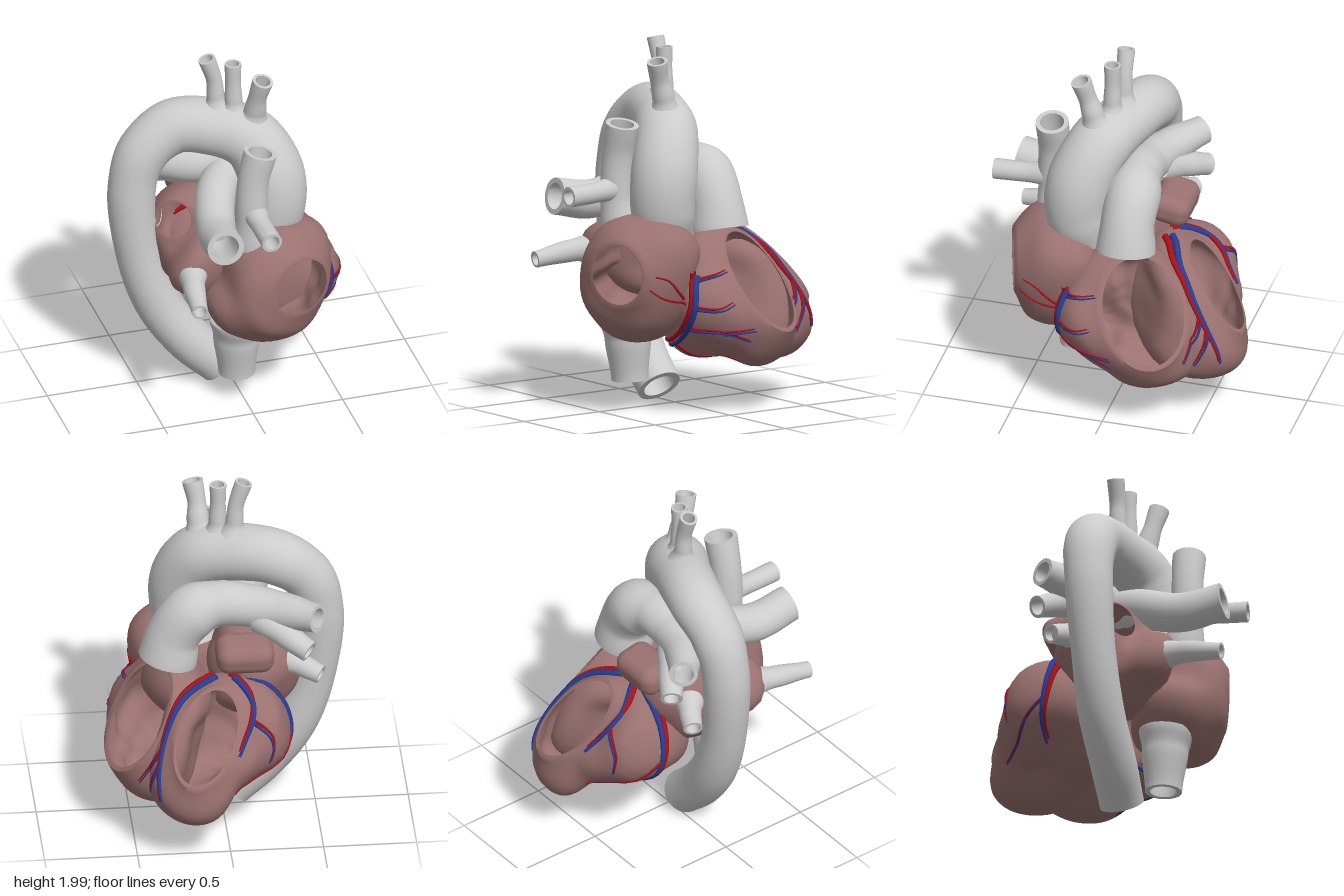
import * as THREE from 'three';
import { toCreasedNormals } from 'three/addons/utils/BufferGeometryUtils.js';
import { RoundedBoxGeometry } from 'three/addons/geometries/RoundedBoxGeometry.js';

const V = (p) => new THREE.Vector3(p[0], p[1], p[2]);
const material = (color) => new THREE.MeshStandardMaterial({ color, side: THREE.DoubleSide });
const GREY = material(0xcccccc);
const MUSCLE = material(0x9a7270);
const RED = material(0xa81216);
const BLUE = material(0x2a3c94);

// Skin a list of closed rings
function loft(rings, mat, name) {
  const n = rings[0].length, pos = [], idx = [];
  rings.forEach((ring) => ring.forEach((p) => pos.push(p.x, p.y, p.z)));
  for (let i = 0; i < rings.length - 1; i++) {
    for (let j = 0; j < n; j++) {
      const a = i * n + j, b = i * n + (j + 1) % n;
      idx.push(a, b, a + n, b, b + n, a + n);
    }
  }
  const geo = new THREE.BufferGeometry();
  geo.setAttribute('position', new THREE.Float32BufferAttribute(pos, 3));
  geo.setIndex(idx);
  const mesh = new THREE.Mesh(toCreasedNormals(geo, 0.9), mat);
  mesh.name = name;
  return mesh;
}

// Tube with varying radius through [x, y, z, radius] points; hollow tubes get a thick open end
function vessel(name, pts, { mat = GREY, sides = 24, steps = 40, hollow = true } = {}) {
  const curve = new THREE.CatmullRomCurve3(pts.map(V));
  const frames = curve.computeFrenetFrames(steps, false);
  const radiusAt = (u) => {
    const t = curve.getUtoTmapping(u) * (pts.length - 1);
    const i = Math.min(Math.floor(t), pts.length - 2);
    return THREE.MathUtils.lerp(pts[i][3], pts[i + 1][3], THREE.MathUtils.smoothstep(t - i, 0, 1));
  };
  const ring = (i, k) => {
    const c = curve.getPointAt(i / steps), r = radiusAt(i / steps) * k;
    return Array.from({ length: sides }, (_, j) => {
      const a = (j / sides) * Math.PI * 2;
      return c.clone().addScaledVector(frames.normals[i], r * Math.cos(a))
        .addScaledVector(frames.binormals[i], r * Math.sin(a));
    });
  };
  const rings = [];
  for (let i = 0; i <= steps; i++) rings.push(ring(i, 1));
  if (hollow) {
    const back = Math.max(steps - 12, 1);
    for (let i = steps; i >= back; i--) rings.push(ring(i, 0.72));
    rings.push(ring(back, 0));
  } else rings.push(ring(steps, 0));
  return loft(rings, mat, name);
}

// Hollow chamber: a smooth skin through control points around a centre,
// cut by an elliptical window (centre w, half axes a and b)
function chamber(name, centre, points, { w, a, b }, wall = 0.84) {
  const c = V(centre), W = V(w), A = V(a), B = V(b);
  const ctrl = points.map((p) => {
    const d = V(p).sub(c), r = d.length();
    return { d: d.divideScalar(r), r, v: r };
  });
  const radius = (d) => {
    let sum = 0, total = 0;
    for (const p of ctrl) {
      const k = Math.exp(11 * (p.d.dot(d) - 1));
      sum += k * p.v;
      total += k;
    }
    return sum / total;
  };
  for (let pass = 0; pass < 2; pass++) {
    const err = ctrl.map((p) => p.r - radius(p.d));
    ctrl.forEach((p, i) => { p.v += err[i] * 0.8; });
  }
  const n = W.clone().sub(c).normalize();
  const sides = 56, rows = 28;
  const ring = (s, inner) => Array.from({ length: sides }, (_, j) => {
    const phi = (j / sides) * Math.PI * 2, k = inner ? 0.92 : 1;
    const rim = W.clone().addScaledVector(A, k * Math.cos(phi)).addScaledVector(B, k * Math.sin(phi)).sub(c);
    const rimR = rim.length(), th0 = rim.angleTo(n);
    const side = rim.clone().addScaledVector(n, -rim.dot(n)).normalize();
    const th = th0 + (Math.PI - th0) * s;
    const d = n.clone().multiplyScalar(Math.cos(th)).addScaledVector(side, Math.sin(th));
    let r = radius(d);
    if (inner) r *= wall * (1 + 0.05 * Math.sin(9 * th) * Math.sin(7 * phi) * Math.sin(th));
    r = THREE.MathUtils.lerp(rimR, r, THREE.MathUtils.smoothstep(s, 0, 0.22));
    return d.multiplyScalar(r).add(c);
  });
  const rings = [];
  for (let i = 0; i <= rows; i++) rings.push(ring(i / rows, false));
  rings.reverse();
  for (let i = 0; i <= rows; i++) rings.push(ring(i / rows, true));
  return loft(rings, MUSCLE, name);
}

export function createModel() {
  const model = new THREE.Group();
  model.name = 'heart';

  // Ventricles
  const rightVentricle = chamber('rightVentricle', [0.33, 0.6, -0.08], [
    [0.64, 0.57, -0.1], [0.62, 0.66, 0.05], [0.55, 0.43, 0.08], [0.5, 0.62, 0.25], [0.36, 0.26, -0.4],
    [0.3, 0.31, -0.1], [0.25, 0.38, 0.2], [0.61, 0.43, -0.24], [0.53, 0.33, -0.4], [0.42, 0.46, -0.58],
    [0.47, 0.56, -0.48], [0.45, 0.27, -0.3], [0.29, 1.04, -0.08], [0.4, 0.99, -0.08], [0.3, 0.98, -0.26],
    [0.25, 0.95, 0.08], [0.5, 0.85, 0.08], [0.1, 0.6, -0.05], [0.2, 0.5, -0.3], [0.12, 0.88, -0.1], [0.3, 0.6, 0.25],
  ], { w: [0.47, 0.715, -0.22], a: [-0.15, 0.27, 0.09], b: [0.1, 0, 0.215] });
  const leftVentricle = chamber('leftVentricle', [0.06, 0.6, -0.4], [
    [0.21, 0.41, -0.74], [0.3, 0.36, -0.7], [0.1, 0.52, -0.67], [-0.35, 0.65, -0.27], [-0.31, 0.65, -0.42],
    [-0.1, 0.6, -0.61], [0, 0.98, -0.3], [-0.2, 0.9, -0.26], [0.2, 0.95, -0.37], [0.08, 0.35, -0.4],
    [-0.2, 0.44, -0.33], [-0.1, 0.43, -0.5], [0.3, 0.24, -0.52], [0.32, 0.24, -0.43], [0.25, 0.27, -0.28],
    [0.39, 0.65, -0.49], [0.41, 0.52, -0.57], [0.37, 0.45, -0.65], [0, 0.6, 0], [-0.2, 0.62, -0.02],
    [0.22, 0.6, -0.15], [0.05, 0.4, -0.05],
  ], { w: [0.13, 0.74, -0.535], a: [0.11, -0.21, -0.17], b: [0.15, 0.05, 0.04] });

  // Atria
  const rightAtrium = chamber('rightAtrium', [0.12, 0.72, 0.36], [
    [-0.2, 0.58, 0.35], [-0.11, 0.85, 0.4], [0, 0.6, 0.6], [0.05, 0.4, 0.35], [0.3, 0.44, 0.4],
    [0.42, 0.6, 0.4], [0.47, 0.8, 0.35], [0.46, 0.98, 0.3], [0.25, 1.08, 0.36], [0.05, 1.07, 0.42],
    [-0.06, 1.01, 0.38], [-0.02, 0.92, 0.56], [0.03, 0.75, 0.63], [0.2, 0.55, 0.58], [0.25, 1.03, 0.5],
    [0.35, 0.65, 0.12], [0.1, 0.7, 0.08], [0.1, 1, 0.2], [0.05, 0.45, 0.15],
  ], { w: [0.25, 0.79, 0.565], a: [0.17, 0, -0.055], b: [0, 0.175, 0] }, 0.88);
  const leftAtrium = chamber('leftAtrium', [-0.16, 0.88, 0.05], [
    [-0.4, 1.05, -0.05], [-0.38, 0.9, 0.14], [-0.31, 0.83, 0.4], [-0.15, 1.1, 0.2], [-0.1, 1.15, -0.1],
    [-0.3, 0.65, 0.1], [-0.15, 0.6, 0.2], [0, 0.85, 0.2], [-0.36, 0.8, -0.14], [-0.25, 1.02, -0.24],
    [-0.15, 0.85, 0.34], [0.05, 0.95, -0.05], [-0.15, 0.65, -0.15], [-0.3, 1.16, 0],
  ], { w: [-0.33, 1.05, 0.11], a: [0.04, 0.11, 0], b: [0.08, -0.02, 0.07] }, 0.88);
  const appendage = new THREE.Mesh(new RoundedBoxGeometry(0.31, 0.17, 0.22, 6, 0.07), MUSCLE);
  appendage.name = 'leftAtrialAppendage';
  appendage.position.set(-0.1, 1.08, -0.235);
  appendage.rotation.x = -0.2;
  model.add(rightVentricle, leftVentricle, rightAtrium, leftAtrium, appendage);

  // Aorta and the three arch branches
  model.add(vessel('aorta', [
    [0.14, 0.93, 0.14, 0.14], [0.19, 1.1, 0.22, 0.175], [0.19, 1.3, 0.21, 0.18], [0.1, 1.49, 0.13, 0.17],
    [-0.08, 1.55, 0.04, 0.155], [-0.28, 1.55, -0.03, 0.15], [-0.45, 1.43, -0.03, 0.14],
    [-0.52, 1.22, -0.02, 0.13], [-0.49, 0.8, 0, 0.12], [-0.38, 0.48, 0.02, 0.125],
    [-0.22, 0.25, 0.05, 0.125], [-0.06, 0.09, 0.06, 0.12],
  ], { steps: 110, sides: 32 }));
  [
    [[-0.06, 1.62, 0.04, 0.1], [-0.07, 1.74, 0.04, 0.048], [-0.08, 1.85, 0.04, 0.043], [-0.12, 1.98, 0.04, 0.047]],
    [[0.02, 1.6, 0.08, 0.1], [0.018, 1.72, 0.08, 0.048], [0.015, 1.84, 0.08, 0.042], [0.015, 1.95, 0.08, 0.045]],
    [[0.1, 1.55, 0.13, 0.11], [0.115, 1.69, 0.16, 0.06], [0.12, 1.79, 0.19, 0.05], [0.14, 1.9, 0.22, 0.056]],
  ].forEach((p, i) => model.add(vessel('archBranch' + (i + 1), p)));

  // Pulmonary arteries
  model.add(vessel('pulmonaryTrunk', [
    [0.3, 0.98, -0.075, 0.16], [0.265, 1.13, -0.075, 0.145], [0.17, 1.26, -0.08, 0.15], [0.03, 1.3, -0.07, 0.125],
    [-0.15, 1.28, -0.08, 0.115], [-0.32, 1.28, -0.15, 0.1], [-0.49, 1.3, -0.28, 0.078],
  ], { steps: 60 }));
  model.add(vessel('leftArteryBranch', [[-0.2, 1.23, -0.12, 0.09], [-0.32, 1.18, -0.23, 0.07], [-0.44, 1.12, -0.32, 0.06]]));
  model.add(vessel('frontPulmonaryArtery', [
    [0.08, 1.27, -0.08, 0.11], [-0.1, 1.21, 0.15, 0.11], [-0.18, 1.13, 0.42, 0.105], [-0.2, 1.165, 0.65, 0.1],
  ]));

  // Veins
  model.add(vessel('rearPulmonaryVein', [[-0.35, 0.97, -0.13, 0.08], [-0.42, 0.95, -0.18, 0.06], [-0.51, 0.92, -0.23, 0.052]]));
  model.add(vessel('frontPulmonaryVein', [[-0.28, 0.84, 0.3, 0.085], [-0.32, 0.83, 0.46, 0.06], [-0.35, 0.8, 0.67, 0.045]]));
  model.add(vessel('superiorVenaCava', [
    [0.03, 1.01, 0.38, 0.11], [0.02, 1.18, 0.4, 0.088], [0.03, 1.4, 0.4, 0.085], [0.07, 1.57, 0.4, 0.09],
  ]));
  model.add(vessel('azygosVein', [[0.03, 1.22, 0.4, 0.07], [0.03, 1.205, 0.56, 0.055], [0.035, 1.2, 0.73, 0.056]]));
  model.add(vessel('inferiorVenaCava', [[-0.03, 0.5, 0.3, 0.15], [-0.03, 0.38, 0.29, 0.125], [-0.025, 0.155, 0.28, 0.1]]));

  // Coronary vessels: paths dropped onto the muscle surface
  const skin = [rightVentricle, leftVentricle, rightAtrium];
  const core = V([0.18, 0.62, -0.08]);
  const ray = new THREE.Raycaster();
  const coronary = (name, pts, r, mat, shift = 0) => {
    const guide = new THREE.CatmullRomCurve3(pts.map((p) => V([p[0], p[1] - shift, p[2] - shift])));
    const count = pts.length * 4;
    const path = guide.getSpacedPoints(count).map((p, i) => {
      const d = p.clone().sub(core).normalize();
      ray.set(core.clone().addScaledVector(d, 2), d.clone().negate());
      const hit = ray.intersectObjects(skin)[0];
      const q = hit && hit.point.distanceTo(p) < 0.14 ? hit.point : p;
      q.addScaledVector(d, r * 0.25);
      return [q.x, q.y, q.z, r * (1 - 0.6 * i / count)];
    });
    model.add(vessel(name, path, { mat, sides: 8, steps: count * 2, hollow: false }));
  };
  const mains = [
    [[0.46, 0.8, 0.22], [0.5, 0.62, 0.26], [0.42, 0.47, 0.28], [0.26, 0.39, 0.24], [0.1, 0.35, 0.18]],
    [[0.05, 1.0, -0.25], [0.24, 0.94, -0.36], [0.35, 0.8, -0.48], [0.4, 0.62, -0.57], [0.4, 0.42, -0.64]],
    [[-0.04, 0.98, -0.25], [-0.12, 0.9, -0.38], [-0.11, 0.8, -0.5], [-0.06, 0.68, -0.62]],
    [[-0.1, 0.96, -0.22], [-0.28, 0.82, -0.25], [-0.33, 0.65, -0.28], [-0.2, 0.45, -0.3]],
  ];
  mains.forEach((p, i) => {
    coronary('coronaryArtery' + (i + 1), p, 0.02, RED);
    coronary('coronaryVein' + (i + 1), p, 0.02, BLUE, 0.026);
  });
  const branches = [
    [[0.48, 0.76, 0.24], [0.53, 0.79, 0.12], [0.53, 0.81, 0.05]],
    [[0.5, 0.62, 0.25], [0.6, 0.61, 0.14], [0.62, 0.64, 0.06]],
    [[0.45, 0.5, 0.27], [0.57, 0.48, 0.1], [0.6, 0.42, -0.06]],
    [[0.56, 0.48, 0.1], [0.6, 0.48, 0.02], [0.61, 0.49, -0.07]],
    [[0.3, 0.4, 0.25], [0.38, 0.35, 0.08], [0.45, 0.33, -0.08]],
    [[0.39, 0.68, -0.55], [0.46, 0.54, -0.52], [0.52, 0.42, -0.48]],
    [[0.4, 0.6, -0.57], [0.45, 0.48, -0.57], [0.46, 0.38, -0.53]],
    [[-0.11, 0.82, -0.48], [-0.2, 0.7, -0.5], [-0.2, 0.58, -0.52]],
    [[-0.33, 0.65, -0.28], [-0.22, 0.5, -0.45], [-0.02, 0.42, -0.57]],
  ];
  branches.forEach((p, i) => {
    coronary('arteryTwig' + (i + 1), p, 0.009, RED);
    coronary('veinTwig' + (i + 1), p, 0.009, BLUE, 0.014);
  });
  coronary('atrialTwig1', [[0.48, 0.63, 0.28], [0.45, 0.66, 0.38], [0.42, 0.72, 0.46]], 0.009, RED);
  coronary('atrialTwig2', [[0.47, 0.66, 0.3], [0.46, 0.76, 0.36], [0.44, 0.79, 0.44]], 0.009, RED);
  return model;
}
